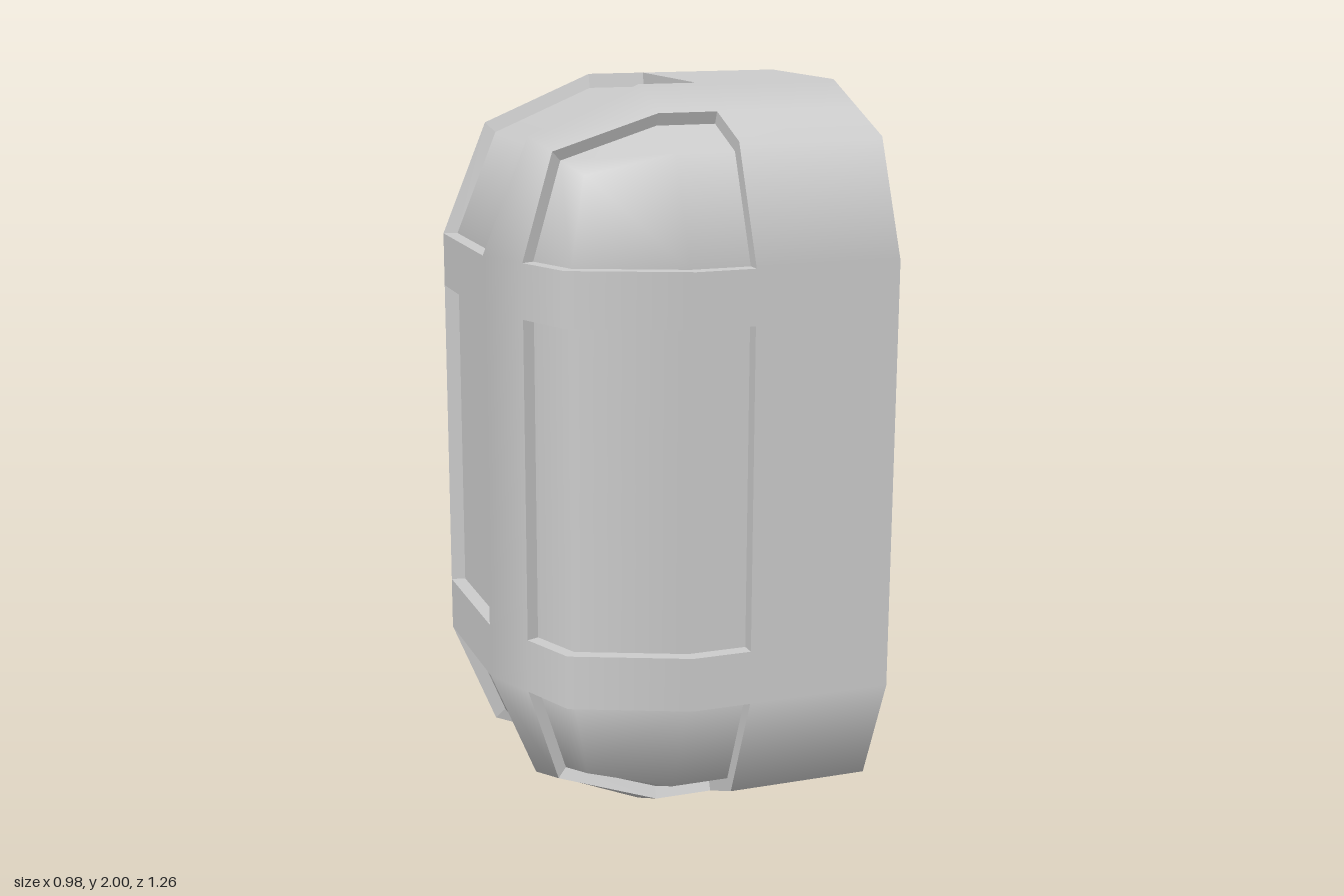
import * as THREE from 'three';

// Open capsule-like shell: a box core swept by a two-step rounded corner,
// divided by raised ribs into recessed panels.
const R = 0.425, RIN = 0.387;            // rib radius, recessed panel radius
const XA = -0.065, XB = 0.095, XO = 0.49; // corner centre, panel edge, open rim
const YP = 0.43, YC = 0.575;             // panel edge, corner centre (from mid height)
const ZC = 0.207, ZIN = 0.199;           // corner centre, foot of the centre panel walls

// Directions on the rounded corner
const dir = (x, y, z) => new THREE.Vector3(x, y, z).normalize();
const mid = (a, b) => a.clone().add(b).multiplyScalar(0.5);
const X = dir(-1, 0, 0), Y = dir(0, 1, 0), Z = dir(0, 0, 1);
const XY = dir(-1, 1, 0), XZ = dir(-1, 0, 1), YZ = dir(0, 1, 1), C = dir(-1, 1, 1);
const xEdge = mid(X, XZ), yEdge = mid(Y, YZ), cEdge = mid(XY, C);

// A surface point: a direction plus its position on the core
const at = (d, x = XA, y = YC, z = ZC) => ({ d, core: new THREE.Vector3(x, y, z) });

// Collects triangles for one quarter and repeats them for all four
class Part {
  constructor() { this.pos = []; this.nor = []; }

  tri(pts, nors) {
    for (const sy of [1, -1]) for (const sz of [1, -1]) {
      const flip = (v) => new THREE.Vector3(v.x, v.y * sy, v.z * sz);
      let p = pts.map(flip), n = nors && nors.map(flip);
      const face = p[1].clone().sub(p[0]).cross(p[2].clone().sub(p[0]));
      if (face.length() < 1e-9) continue;
      if (!n) {
        // flat wall: keep the mirrored copies facing the same way
        if (sy * sz < 0) { p = [p[0], p[2], p[1]]; face.negate(); }
        face.normalize();
        n = [face, face, face];
      } else if (face.dot(n[0].clone().add(n[1]).add(n[2])) < 0) {
        p = [p[0], p[2], p[1]];
        n = [n[0], n[2], n[1]];
      }
      p.forEach((v, i) => {
        this.pos.push(v.x, v.y + 1, v.z);
        this.nor.push(n[i].x, n[i].y, n[i].z);
      });
    }
  }

  // Smooth skin through rows of surface points
  skin(r, ...rows) {
    const p = (v) => v.core.clone().addScaledVector(v.d, r);
    const n = (v) => v.d.clone().normalize();
    for (let j = 0; j + 1 < rows.length; j++) {
      const count = Math.min(rows[j].length, rows[j + 1].length);
      for (let i = 0; i + 1 < count; i++) {
        const [a, b, c, d] = [rows[j][i], rows[j][i + 1], rows[j + 1][i + 1], rows[j + 1][i]];
        for (const t of [[a, b, c], [a, c, d]]) this.tri(t.map(p), t.map(n));
      }
    }
    return this;
  }

  // Step from the rib surface down to a recessed panel
  wall(outer, inner = outer) {
    const o = outer.map((v) => v.core.clone().addScaledVector(v.d, R));
    const q = inner.map((v) => v.core.clone().addScaledVector(v.d, RIN));
    for (let i = 0; i + 1 < o.length; i++) {
      this.tri([o[i], o[i + 1], q[i + 1]]);
      this.tri([o[i], q[i + 1], q[i]]);
    }
    return this;
  }

  mesh(name) {
    const g = new THREE.BufferGeometry();
    g.setAttribute('position', new THREE.Float32BufferAttribute(this.pos, 3));
    g.setAttribute('normal', new THREE.Float32BufferAttribute(this.nor, 3));
    const m = new THREE.Mesh(g, new THREE.MeshStandardMaterial({ color: 0xcccccc, side: THREE.DoubleSide }));
    m.name = name;
    return m;
  }
}

export function createModel() {
  const group = new THREE.Group();
  group.name = 'shell';

  // Lines running round the shell
  const sideRow = (y) => [at(Z, XB, y), at(Z, XA, y), at(XZ, XA, y), at(xEdge, XA, y)];
  const endRow = (y, z = ZC) => [at(X, XA, y, 0), at(X, XA, y, z)];
  const topRow = (z) => [at(Y, XB, YC, z), at(Y, XA, YC, z), at(XY, XA, YC, z), at(X, XA, YC, z)];
  const ribEdge = [at(yEdge, XB), at(yEdge), at(cEdge), at(xEdge)];
  const hoop = (x) => [at(Z, x, 0), at(Z, x, YP), at(Z, x, YC), at(YZ, x), at(yEdge, x), at(Y, x), at(Y, x, YC, 0)];

  // Wide band at the open side
  group.add(new Part().skin(R, hoop(XB), hoop(XO)).mesh('openRim'));

  // Raised ribs between the panels
  const across = (y) => [...sideRow(y), ...endRow(y).reverse()];
  group.add(new Part().skin(R, across(YP), across(YC)).mesh('horizontalRibs'));
  group.add(new Part()
    .skin(R, [at(xEdge, XA, 0), at(X, XA, 0)], [at(xEdge, XA, YP), at(X, XA, YP)])
    .skin(R, ribEdge, topRow(ZC))
    .mesh('verticalRibs'));

  // Long panels on the front and back
  group.add(new Part()
    .skin(RIN, sideRow(0), sideRow(YP))
    .wall([at(Z, XB, 0), ...sideRow(YP), at(xEdge, XA, 0)])
    .mesh('sidePanels'));

  // Panel on the closed end
  group.add(new Part()
    .skin(RIN, endRow(0, ZIN), endRow(YP, ZIN))
    .wall([...endRow(YP), at(X, XA, 0)], [...endRow(YP, ZIN), at(X, XA, 0, ZIN)])
    .mesh('endPanel'));

  // Curved panels over the top and under the bottom
  const topLoop = (z) => [at(Y, XB, YC, 0), ...topRow(z), at(X, XA, YC, 0)];
  group.add(new Part()
    .skin(RIN, topRow(0), topRow(ZIN))
    .wall(topLoop(ZC), topLoop(ZIN))
    .mesh('topAndBottomPanels'));

  // Domed panels on the four corners
  const low = sideRow(YC);
  const middle = [at(YZ, XB), at(YZ), at(C), at(cEdge)];
  const high = ribEdge.slice(0, 3);
  group.add(new Part()
    .skin(RIN, low, middle, high)
    .wall([...low, at(cEdge), at(yEdge), at(yEdge, XB), at(YZ, XB), low[0]].reverse())
    .mesh('cornerPanels'));

  return group;
}
